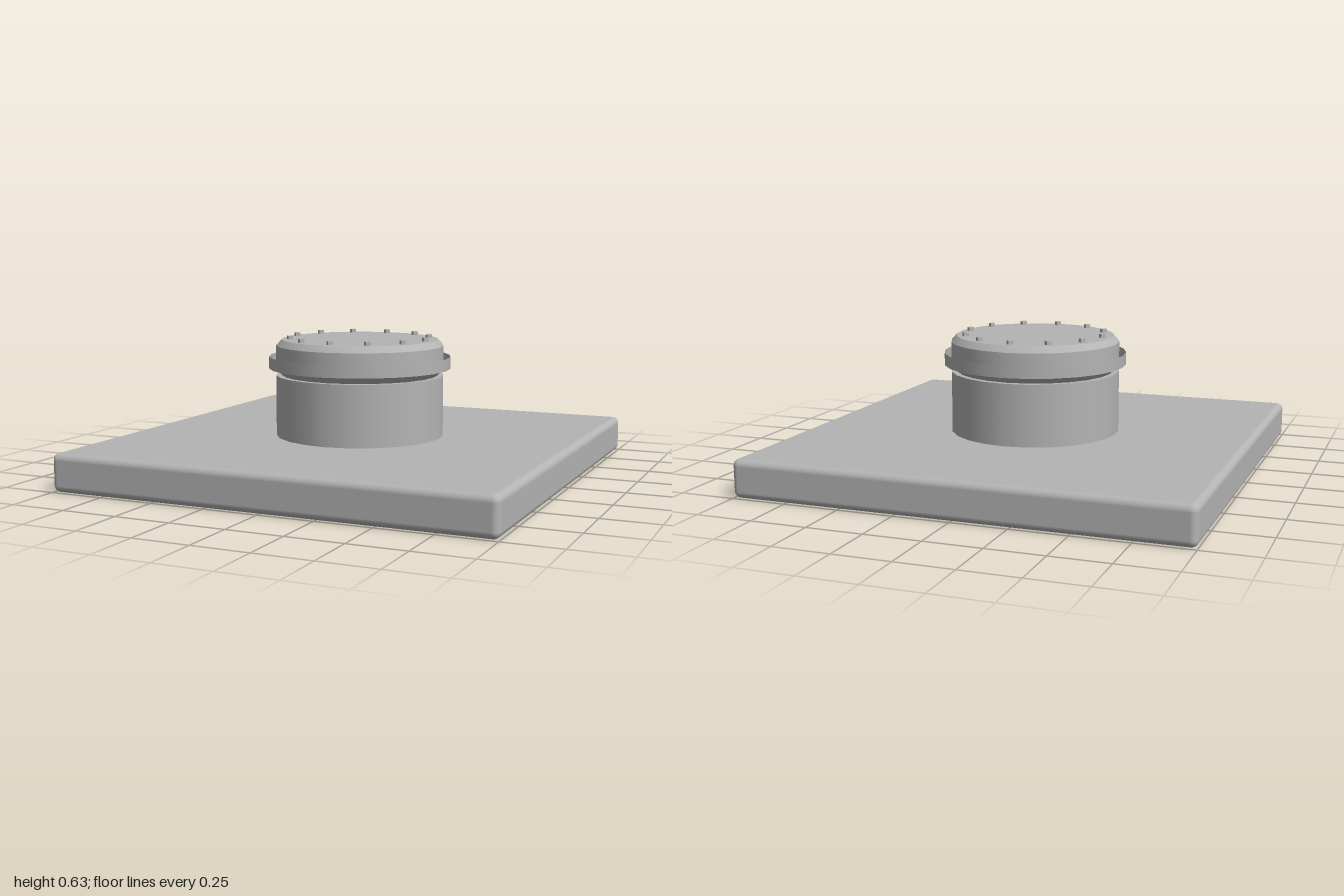
import * as THREE from 'three';
import { RoundedBoxGeometry } from 'three/addons/geometries/RoundedBoxGeometry.js';
import { toCreasedNormals } from 'three/addons/utils/BufferGeometryUtils.js';

export function createModel() {
  const model = new THREE.Group();
  const grey = new THREE.MeshStandardMaterial({ color: 0xb4b4b4 });
  grey.name = 'grey';
  const greyOpen = new THREE.MeshStandardMaterial({ color: 0xb4b4b4, side: THREE.DoubleSide });
  greyOpen.name = 'grey open';

  const add = (name, geometry, y, material = grey, parent = model) => {
    const mesh = new THREE.Mesh(geometry, material);
    mesh.name = name;
    mesh.position.y = y;
    parent.add(mesh);
    return mesh;
  };

  // Square slab with rounded edges
  add('baseSlab', new RoundedBoxGeometry(2, 0.17, 2, 4, 0.03), 0.085);

  // Round pedestal
  add('pedestal', new THREE.CylinderGeometry(0.388, 0.388, 0.3, 24), 0.3);

  // Lid, flared below and bevelled above
  const profile = [[0, 0.44], [0.36, 0.44], [0.36, 0.45], [0.388, 0.48], [0.388, 0.587], [0.363, 0.615], [0, 0.615]]
    .map(([r, y]) => new THREE.Vector2(r, y));
  add('lid', toCreasedNormals(new THREE.LatheGeometry(profile, 24), 0.5), 0);

  // Thin open band standing clear of the lid
  add('band', new THREE.CylinderGeometry(0.42, 0.42, 0.055, 24, 1, true), 0.509, greyOpen);

  // Ring of diamond-shaped bolts
  const bolts = new THREE.Group();
  bolts.name = 'bolts';
  model.add(bolts);
  const boltShape = toCreasedNormals(new THREE.CylinderGeometry(0.016, 0.016, 0.025, 4), 0.5);
  for (let i = 0; i < 12; i++) {
    const a = (i * Math.PI) / 6;
    const bolt = add('bolt', boltShape, 0.6195, grey, bolts);
    bolt.position.x = 0.323 * Math.cos(a);
    bolt.position.z = 0.323 * Math.sin(a);
  }
  return model;
}
